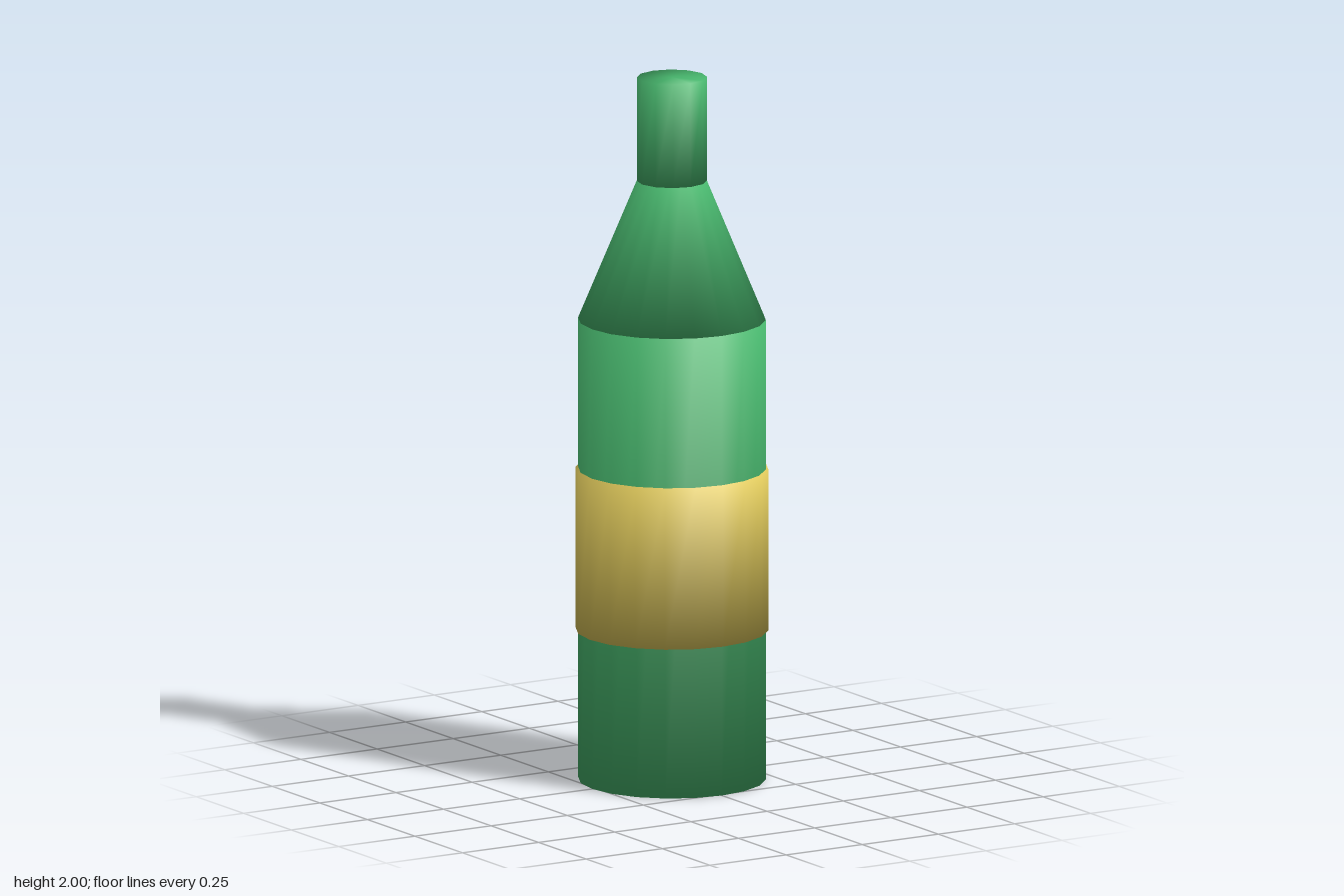
import * as THREE from 'three';

// Closed cylinder or cone section whose rims are shaded softly into the caps
function softSection(topRadius, bottomRadius, bottom, top, sides) {
  const height = top - bottom;
  const geometry = new THREE.CylinderGeometry(topRadius, bottomRadius, height, sides);
  const { position, normal } = geometry.attributes;
  const slope = new THREE.Vector2(height, bottomRadius - topRadius).normalize();
  const n = new THREE.Vector3();
  for (let i = 0; i < position.count; i++) {
    const x = position.getX(i), z = position.getZ(i);
    const r = Math.hypot(x, z);
    if (r < 1e-6) continue; // cap centres keep their straight normals
    const cap = Math.sign(position.getY(i));
    n.set((x / r) * slope.x, slope.y + cap, (z / r) * slope.x).normalize();
    normal.setXYZ(i, n.x, n.y, n.z);
  }
  return geometry.translate(0, (bottom + top) / 2, 0);
}

export function createModel() {
  const group = new THREE.Group();
  group.name = 'bottle';

  const glass = new THREE.MeshStandardMaterial({ color: 0x46b36b });
  glass.name = 'green glass';
  const paper = new THREE.MeshStandardMaterial({ color: 0xdcc65a });
  paper.name = 'yellow label';

  // name, top radius, bottom radius, bottom y, top y, sides, material
  const parts = [
    ['body', 0.262, 0.262, 0, 1.311, 20, glass],
    ['shoulder', 0.098, 0.262, 1.311, 1.705, 20, glass],
    ['neck', 0.098, 0.098, 1.705, 2, 12, glass],
    ['label', 0.269, 0.269, 0.426, 0.885, 20, paper],
  ];
  for (const [name, topRadius, bottomRadius, bottom, top, sides, material] of parts) {
    const mesh = new THREE.Mesh(softSection(topRadius, bottomRadius, bottom, top, sides), material);
    mesh.name = name;
    group.add(mesh);
  }
  return group;
}
